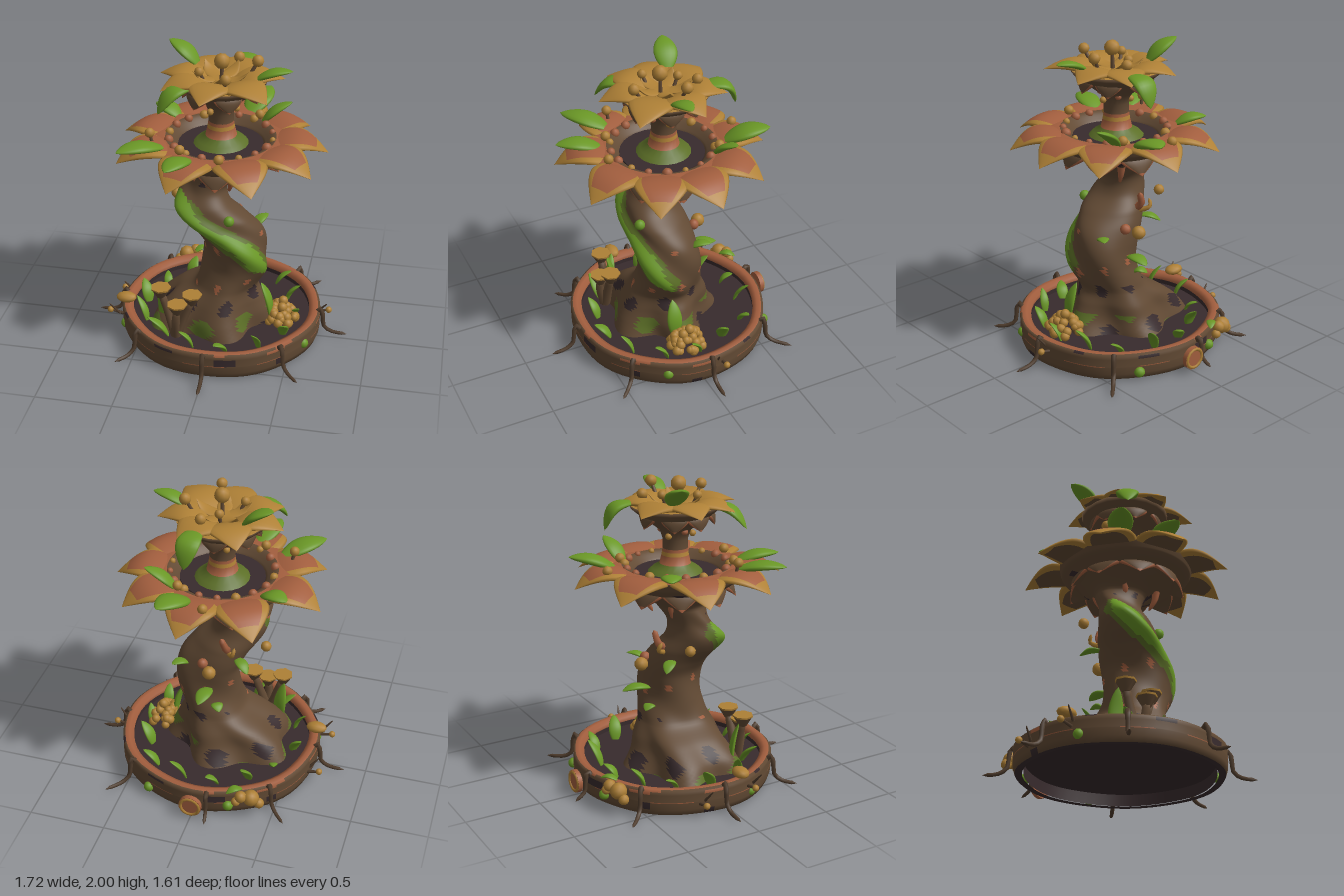
import * as THREE from 'three';

const mat = (name, color) => Object.assign(new THREE.MeshStandardMaterial({ color }), { name });
const bark = mat('bark', 0x624a34), dark = mat('darkHollow', 0x382b2d), red = mat('redClay', 0xa25e3e);
const ochre = mat('ochre', 0xae8036), green = mat('leafGreen', 0x6a9726), moss = mat('moss', 0x5c6f27);
const root = mat('rootBrown', 0x4f3c2c);
const V = (x, y, z) => new THREE.Vector3(x, y, z);
const polar = (deg, r, y, cz = 0) => V(r * Math.cos(deg * Math.PI / 180), y, cz + r * Math.sin(deg * Math.PI / 180));
const TAU = Math.PI * 2;
const CZ = -0.04; // basin centre in z

let seed = 7;
const rnd = () => (seed = (seed * 16807) % 2147483647) / 2147483647;

// Skin of rings: point(t, a) gives the surface, pick(t, a) the material index of each face
function loft(name, rings, sides, point, mats, pick = () => 0) {
  const pos = [], faces = mats.map(() => []);
  for (let i = 0; i <= rings; i++)
    for (let j = 0; j < sides; j++) pos.push(...point(i / rings, j / sides * TAU).toArray());
  for (let i = 0; i < rings; i++)
    for (let j = 0; j < sides; j++) {
      const k = (j + 1) % sides, a = i * sides + j, b = a + sides, c = i * sides + k, d = c + sides;
      faces[pick((i + 0.5) / rings, (j + 0.5) / sides * TAU)].push(a, b, c, b, d, c);
    }
  const geo = new THREE.BufferGeometry();
  geo.setAttribute('position', new THREE.Float32BufferAttribute(pos, 3));
  geo.setIndex(faces.flat());
  let start = 0;
  faces.forEach((f, i) => { geo.addGroup(start, f.length, i); start += f.length; });
  geo.computeVertexNormals();
  const mesh = new THREE.Mesh(geo, mats);
  mesh.name = name;
  return mesh;
}

// Leaf or petal from base to tip: mats are [top, edge, underside], a higher rim gives a thinner edge
function blade(name, base, tip, width, thick, bend, mats, start = 0.32, power = 1, rim = 0.8) {
  const dir = tip.clone().sub(base);
  const side = dir.clone().cross(V(0, 1, 0)).normalize(), up = side.clone().cross(dir).normalize();
  const point = (t, a) => {
    const w = Math.pow(Math.max(0, Math.sin(Math.PI * (start + (1 - start) * t))), power);
    return base.clone().addScaledVector(dir, t).addScaledVector(side, Math.cos(a) * w * width)
      .addScaledVector(up, Math.sin(a) * w * thick + bend * Math.sin(Math.PI * t));
  };
  return loft(name, 12, 16, point, mats, (t, a) => {
    if (Math.abs(Math.cos(a)) > rim || t > rim * 0.95) return 1;
    return Math.sin(a) < 0 ? 2 : 0;
  });
}
const leaf = (name, b, t, w, bend = 0.02) => blade(name, V(...b), V(...t), w, w * 0.35, bend, [green, green, green], 0.1, 0.7);

// Tapered stalk along a curve
function stalk(name, pts, r0, r1, material, sides = 6) {
  const curve = new THREE.CatmullRomCurve3(pts), n = 10, f = curve.computeFrenetFrames(n);
  return loft(name, n, sides, (t, a) => {
    const i = Math.round(t * n), r = i === n ? 0 : r0 + (r1 - r0) * t;
    return curve.getPointAt(t).addScaledVector(f.binormals[i], r * Math.cos(a)).addScaledVector(f.normals[i], r * Math.sin(a));
  }, [material]);
}

function solid(name, geo, material, x, y, z) {
  const m = new THREE.Mesh(geo, material);
  m.name = name;
  m.position.set(x, y, z);
  return m;
}
const ball = (name, r, material, x, y, z) => solid(name, new THREE.IcosahedronGeometry(r, 1), material, x, y, z);

function basin(g) {
  // wall and rolled rim: [radius, height]
  const prof = [[0.61, 0.012], [0.655, 0.012], [0.668, 0.05], [0.67, 0.096], [0.67, 0.101], [0.668, 0.15],
    [0.67, 0.172], [0.655, 0.184], [0.625, 0.186], [0.595, 0.17], [0.6, 0.14], [0.6, 0.012]];
  const n = prof.length - 1;
  g.add(loft('basinWall', n, 60, (t, a) => {
    const [r, y] = prof[Math.round(t * n)], q = r * (1 + 0.007 * Math.sin(7 * a));
    return V(q * Math.cos(a), y, CZ + q * Math.sin(a) * 0.975);
  }, [bark, red, dark], (t, a) => {
    const i = Math.floor(t * n);
    if (i === 0 || i > 9) return 2;
    if (i > 6) return 1;
    if (i === 3) return Math.sin(9 * a) > 0.1 ? 1 : 0;
    const patch = Math.sin(5 * a + 1) * Math.sin(3 * a + i);
    return patch > 0.88 ? 2 : i > 4 && patch < -0.7 ? 1 : 0;
  }));
  g.add(solid('basinFloor', new THREE.CylinderGeometry(0.605, 0.605, 0.02, 40), dark, 0, 0.1, CZ));
  // gripping roots
  for (const [deg, far] of [[0, 0.86], [45, 0.85], [90, 0.85], [135, 0.85], [180, 0.86], [226, 0.85], [262, 0.77], [314, 0.88]])
    g.add(stalk('grippingRoot', [[0.65, 0.17], [0.675, 0.195], [0.69, 0.13], [0.7, 0.06], [0.75, 0.025], [far, 0.014]]
      .map(([r, y]) => polar(deg, r, y, CZ)), 0.018, 0.011, root));
  // round plaque at the back
  const disc = solid('backPlaque', new THREE.CylinderGeometry(0.075, 0.075, 0.03, 14), red, 0, 0.1, -0.745);
  disc.rotation.x = Math.PI / 2;
  g.add(disc, solid('plaqueRing', new THREE.TorusGeometry(0.062, 0.012, 6, 14), ochre, 0, 0.1, -0.757));
}

function trunk(g) {
  // [y, centre x, centre z, radius x, radius z]
  const rows = [[0.1, -0.07, 0, 0.4, 0.35], [0.2, -0.06, 0.01, 0.36, 0.31], [0.3, -0.02, 0, 0.29, 0.28], [0.4, 0.04, 0, 0.2, 0.24],
    [0.55, 0.09, 0, 0.205, 0.21], [0.7, 0.09, 0, 0.205, 0.205], [0.8, 0.05, 0.01, 0.215, 0.195], [0.9, -0.02, 0.04, 0.21, 0.19],
    [1.0, -0.09, 0.06, 0.175, 0.16], [1.1, -0.09, 0.03, 0.14, 0.13], [1.2, -0.05, 0, 0.17, 0.16], [1.3, -0.01, 0, 0.31, 0.3],
    [1.38, 0, 0, 0.42, 0.42], [1.435, 0, 0, 0.44, 0.44], [1.445, 0, 0, 0.35, 0.35], [1.4, 0, 0, 0.28, 0.28], [1.37, 0, 0, 0.26, 0.26]];
  const mid = new THREE.CatmullRomCurve3(rows.map(r => V(r[1], r[0], r[2])));
  const rad = new THREE.CatmullRomCurve3(rows.map(r => V(r[3], 0, r[4])));
  const rimStart = 13 / (rows.length - 1), rimEnd = 14 / (rows.length - 1);
  // the skin is wound with the trunk, so b is the angle from the climbing ridge
  g.add(loft('twistedTrunk', 112, 64, (t, b) => {
    const c = mid.getPoint(t), r = rad.getPoint(t), a = b + 0.2 + (c.y - 0.5) * 4.2;
    const band = Math.exp(-Math.pow((c.y - 0.8) / 0.36, 4));
    const flare = c.y < 0.5 ? 0.14 * (0.5 - c.y) / 0.4 * Math.cos(5 * a + 1 - c.y * 4) : 0;
    const ridge = 0.055 * band * Math.exp(-Math.pow(Math.min(b, TAU - b) / 0.45, 2));
    const k = 1 + flare + 0.05 * band * Math.cos(3 * b - 1.9);
    return V(c.x + Math.cos(a) * (r.x * k + ridge), c.y, c.z + Math.sin(a) * (r.z * k + ridge));
  }, [bark, green, moss, dark, red], (t, b) => {
    const y = mid.getPoint(t).y, d = b > Math.PI ? b - TAU : b, a = b + 0.2 + (y - 0.5) * 4.2;
    const half = Math.min(0.4 + (y - 0.5) * 0.7, (1.11 - y) * 9, (y - 0.5) * 6);
    if (Math.abs(d) < half) return Math.abs(d + 0.1 * Math.sin(y * 19)) < half * 0.6 ? 1 : 2;
    if (t > rimStart && t < rimEnd) return 4;
    const n = Math.sin(4 * a + 9 * y) * Math.sin(3 * a - 13 * y + 2);
    if (y < 0.45 && n > 0.7) return 3;
    if (y < 0.24 && n < -0.45) return 2;
    if (y > 0.4 && y < 0.8 && n < -0.88) return 4;
    return y > 1.15 && y < 1.35 && n > 0.82 ? 3 : 0;
  }));
  // knobs and shelf growths
  g.add(ball('trunkKnob', 0.035, ochre, -0.31, 0.96, -0.08), ball('trunkKnob', 0.035, green, 0.09, 0.94, 0.2));
  g.add(ball('trunkKnob', 0.045, ochre, 0.02, 0.8, -0.25), ball('trunkKnob', 0.035, red, 0.08, 0.82, -0.19));
  g.add(stalk('trunkTwig', [V(-0.06, 0.9, -0.1), V(-0.07, 0.95, -0.17), V(-0.04, 1.04, -0.19)], 0.03, 0.018, red));
  g.add(stalk('trunkTwig', [V(-0.06, 0.88, -0.1), V(-0.12, 0.93, -0.2), V(-0.13, 0.98, -0.18)], 0.02, 0.012, ochre));
  g.add(leaf('trunkLeaf', [0.04, 0.62, -0.18], [0.06, 0.62, -0.37], 0.05), leaf('trunkLeaf', [0, 0.5, -0.18], [-0.05, 0.5, -0.26], 0.04));
  g.add(leaf('trunkLeaf', [-0.12, 0.84, -0.1], [-0.22, 0.8, -0.2], 0.04), leaf('trunkLeaf', [0.2, 0.74, -0.1], [0.28, 0.79, -0.22], 0.04));
}

function middleFlower(g) {
  for (const deg of [26, 64, 108, 152, 193, 239, 278, 319, 353])
    g.add(blade('largePetal', polar(deg, 0.33, 1.41), polar(deg, 0.68, 1.345), 0.17, 0.032, 0.055, [red, ochre, bark]));
  for (let i = 0; i < 9; i++) {
    g.add(blade('lowerSepal', polar(i * 40 + 5, 0.23, 1.35), polar(i * 40 + 5, 0.38, 1.235), 0.13, 0.035, 0.03, [bark, red, bark], 0.32, 1, 0.96));
    if (i % 2) g.add(stalk('hangingThorn', [polar(i * 40 + 20, 0.2, 1.25), polar(i * 40 + 20, 0.19, 1.19), polar(i * 40 + 20, 0.15, 1.12)], 0.028, 0.008, red));
  }
  g.add(solid('bowlPool', new THREE.CylinderGeometry(0.27, 0.27, 0.02, 28), dark, 0, 1.385, 0));
  for (let i = 0; i < 18; i++) {
    const p = polar(i * 20, 0.33, 1.44);
    g.add(ball('rimPebble', 0.02 + 0.014 * rnd(), i % 3 ? red : ochre, p.x, p.y, p.z));
  }
  g.add(leaf('bowlLeaf', [-0.32, 1.45, -0.22], [-0.49, 1.49, -0.32], 0.065), leaf('bowlLeaf', [0.22, 1.43, -0.27], [0.41, 1.57, -0.31], 0.06));
  g.add(leaf('bowlLeaf', [-0.33, 1.45, 0.24], [-0.56, 1.49, 0.46], 0.08), leaf('bowlLeaf', [-0.14, 1.44, 0.36], [-0.22, 1.48, 0.63], 0.075));
  g.add(leaf('bowlLeaf', [0.12, 1.44, -0.38], [0.22, 1.52, -0.65], 0.09));
  for (const [x, y, z] of [[-0.41, 1.52, 0.2], [0.06, 1.47, 0.39], [-0.2, 1.47, 0.3], [0.2, 1.47, -0.3], [-0.02, 1.47, -0.5]]) {
    g.add(stalk('budStem', [V(x * 0.95, 1.41, z * 0.95), V(x, y, z)], 0.012, 0.01, bark), ball('bud', 0.032, ochre, x, y, z));
  }
}

function topFlower(g) {
  // neck and cup: [radius, y, material]
  const prof = [[0.18, 1.39, 0], [0.15, 1.42, 0], [0.1, 1.45, 1], [0.087, 1.505, 3], [0.083, 1.53, 1], [0.08, 1.55, 2], [0.08, 1.61, 2], [0.1, 1.67, 2],
    [0.16, 1.715, 2], [0.22, 1.76, 2], [0.28, 1.81, 2], [0.29, 1.835, 3], [0.15, 1.835, 3], [0.001, 1.82, 3]];
  const n = prof.length - 1;
  g.add(loft('neckAndCup', n, 20, (t, a) => {
    const [r, y] = prof[Math.round(t * n)];
    return V(r * Math.cos(a), y, -0.01 + r * Math.sin(a));
  }, [moss, red, bark, ochre], t => prof[Math.floor(t * n)][2]));
  for (const deg of [345, 42, 98, 146, 188, 242, 297]) {
    g.add(blade('smallPetal', polar(deg, 0.08, 1.8), polar(deg, deg === 42 ? 0.45 : 0.4, 1.815), 0.15, 0.03, 0.045, [ochre, ochre, bark]));
    g.add(blade('cupSepal', polar(deg + 25, 0.17, 1.8), polar(deg + 25, 0.24, 1.695), 0.09, 0.03, 0.015, [bark, red, bark], 0.32, 1, 0.96));
  }
  for (let i = 0; i < 5; i++)
    g.add(blade('innerPetal', polar(i * 72 + 10, 0.05, 1.83), polar(i * 72 + 10, 0.18, 1.9), 0.05, 0.012, -0.02, [ochre, ochre, ochre]));
  for (let i = 0; i < 6; i++) {
    const p = polar(i * 60, 0.1, 1.64 + 0.03 * (i % 2));
    g.add(ball('neckCrumb', 0.022, i % 2 ? red : ochre, p.x, p.y, p.z));
  }
  // stamens
  for (const [x, y, z, r] of [[0.01, 1.955, 0.02, 0.05], [0.22, 1.94, -0.06, 0.038], [0.07, 1.92, 0.22, 0.036], [-0.12, 1.9, 0.08, 0.03], [0.08, 1.9, -0.2, 0.035], [-0.01, 1.9, -0.11, 0.03]]) {
    g.add(stalk('stamenStem', [V(x * 0.7, 1.81, z * 0.7), V(x, y, z)], 0.014, 0.01, bark), ball('stamenTip', r, ochre, x, y, z));
  }
  g.add(leaf('crownLeaf', [-0.17, 1.87, -0.12], [-0.36, 2.0, -0.17], 0.075), leaf('crownLeaf', [0.22, 1.85, 0.02], [0.45, 1.92, 0.02], 0.06));
  g.add(leaf('crownLeaf', [-0.14, 1.83, 0.13], [-0.33, 1.7, 0.31], 0.075, 0.06), leaf('crownLeaf', [0.09, 1.85, -0.24], [0.11, 1.69, -0.45], 0.075, 0.07));
}

function garden(g) {
  // trumpet fungi
  for (const [x, y, z] of [[-0.34, 0.42, 0.3], [-0.13, 0.4, 0.32], [-0.22, 0.34, 0.36]]) {
    g.add(stalk('fungusStem', [V(-0.24, 0.1, 0.32), V((x - 0.24) / 2, 0.26, z), V(x, y, z)], 0.035, 0.025, bark));
    g.add(solid('fungusCup', new THREE.CylinderGeometry(0.065, 0.025, 0.07, 7), bark, x, y, z));
    g.add(solid('fungusTop', new THREE.CylinderGeometry(0.068, 0.066, 0.012, 7), ochre, x, y + 0.036, z));
  }
  // berry heap
  for (let i = 0; i < 40; i++) {
    const a = rnd() * TAU, r = Math.sqrt(rnd());
    g.add(ball('berry', 0.024 + rnd() * 0.01, ochre, 0.41 + r * 0.1 * Math.cos(a), 0.13 + (1 - r) * 0.14 + rnd() * 0.02, 0.02 + r * 0.13 * Math.sin(a)));
  }
  // tufts of leaves
  g.add(leaf('tallLeaf', [0.35, 0.18, 0.07], [0.28, 0.42, 0.06], 0.05), leaf('tallLeaf', [-0.34, 0.12, 0.22], [-0.36, 0.42, 0.26], 0.05));
  for (let i = 0; i < 14; i++) {
    const deg = i * 25.7, b = polar(deg, 0.46 + 0.06 * rnd(), 0.1, CZ), t = polar(deg + 8, 0.52 + 0.08 * rnd(), 0.18 + 0.09 * rnd(), CZ);
    g.add(leaf('grassLeaf', b.toArray(), t.toArray(), 0.028 + 0.015 * rnd()));
  }
  // growths on the rim
  const cap = ball('rimMushroom', 0.07, ochre, -0.63, 0.22, 0.1);
  cap.scale.set(1, 0.5, 0.7);
  g.add(cap);
  for (const [x, y, z, r] of [[-0.37, 0.16, -0.63, 0.055], [-0.31, 0.18, -0.66, 0.04], [-0.42, 0.12, -0.62, 0.035], [-0.28, 0.14, -0.67, 0.03]])
    g.add(ball('rimFungus', r, ochre, x, y, z));
  g.add(leaf('rimLeaf', [-0.3, 0.2, -0.6], [-0.22, 0.2, -0.68], 0.03));
  for (const [x, y, z] of [[-0.72, 0.1, -0.2], [-0.73, 0.14, 0.15], [0.72, 0.14, -0.12]]) {
    g.add(stalk('rimTwig', [V(x * 0.88, y - 0.02, z), V(x, y, z)], 0.012, 0.008, root), ball('twigBud', 0.022, ochre, x, y, z));
    g.add(stalk('rimThorn', [V(x * 0.9, y, z + 0.03), V(x * 0.99, y + 0.08, z + 0.05)], 0.01, 0.004, root));
  }
  for (const [deg, y] of [[25, 0.1], [160, 0.07], [250, 0.08], [300, 0.06]]) {
    const p = polar(deg, 0.655, y, CZ);
    g.add(ball('mossLump', 0.035, green, p.x, p.y, p.z));
  }
}

export function createModel() {
  seed = 7;
  const model = new THREE.Group();
  model.name = 'plantFountain';
  for (const [name, build] of Object.entries({ basin, trunk, middleFlower, topFlower, garden })) {
    const part = new THREE.Group();
    part.name = name;
    build(part);
    model.add(part);
  }
  return model;
}
